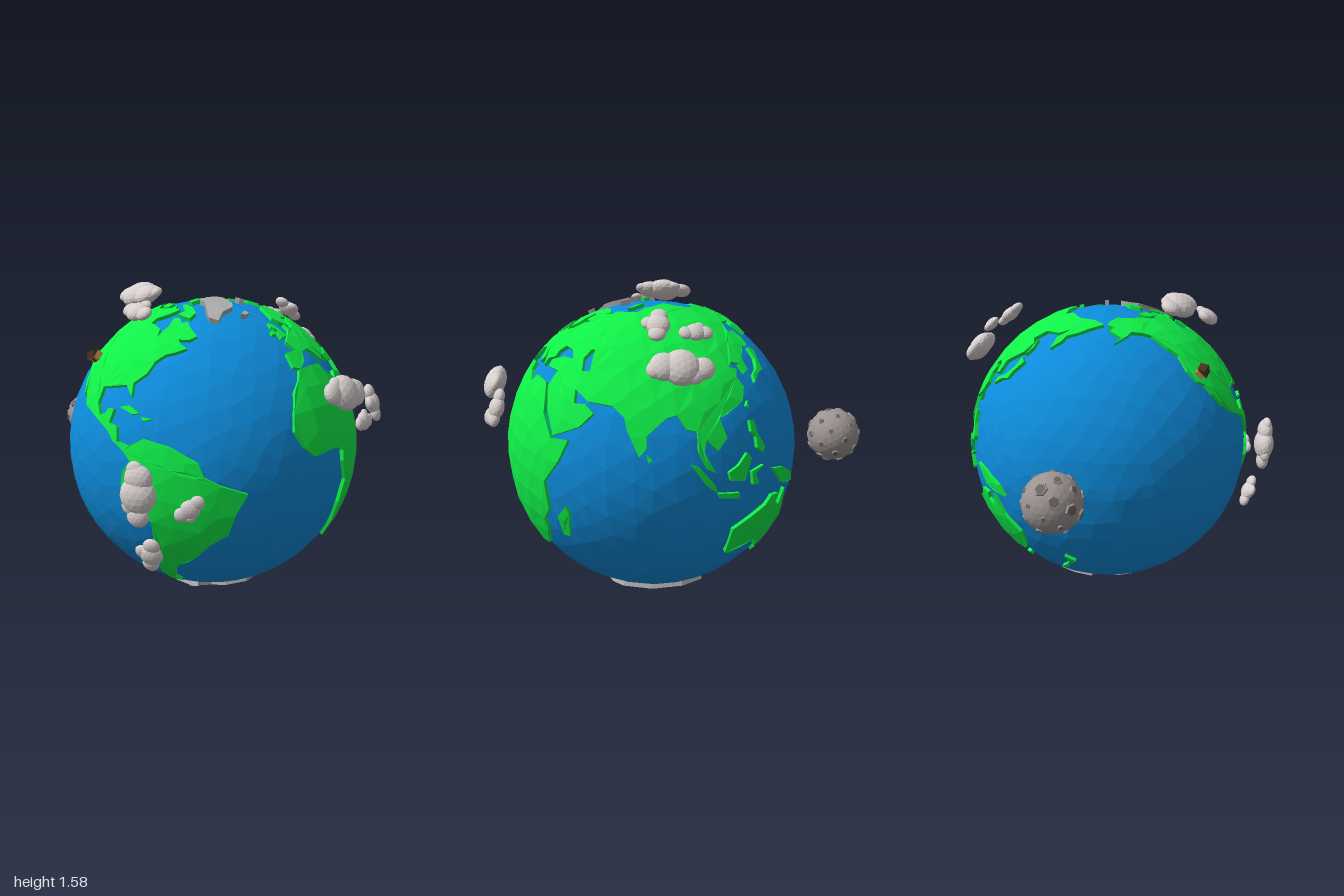
import * as THREE from 'three';

const CENTER = new THREE.Vector3(0.127, 0.758, -0.045);
const SEA = 0.734, LAND = 0.75, ICE = 0.757, BASE = 0.715;
const MAX_EDGE = 0.24; // longest land edge on the unit sphere

const mat = (color, side = THREE.FrontSide) =>
  new THREE.MeshStandardMaterial({ color, flatShading: true, side });
const OCEAN = mat(0x0d8cdc), GREEN = mat(0x10f048), ICE_GREY = mat(0xaaaaaa);
const CLOUD = mat(0xd8d0ce), MOON = mat(0x9c9492), CRATER = mat(0x6c6664);
const WOOD = mat(0x4a3020), TAN = mat(0xc89a50);

// Coast outlines as longitude, latitude pairs
const GREEN_LAND = {
  northAmerica: [-167, 66, -165, 68, -156, 71, -141, 70, -128, 70, -115, 68, -108, 68, -95, 69, -94, 72, -88, 69, -82, 69,
    -82, 67, -87, 64, -94, 61, -94, 58, -88, 57, -82, 55, -80, 51, -79, 54, -77, 57, -78, 62, -73, 62, -69, 59, -65, 60,
    -61, 56, -56, 52, -60, 50, -66, 50, -64, 48, -60, 46, -66, 44, -70, 43, -74, 40, -76, 35, -81, 31, -80, 26, -82, 28,
    -84, 30, -90, 29, -97, 28, -97, 22, -94, 18, -91, 19, -90, 21, -87, 21, -88, 16, -84, 15, -83, 10, -78, 9, -80, 7,
    -85, 10, -88, 13, -94, 16, -105, 20, -109, 25, -113, 31, -110, 23, -115, 29, -117, 33, -121, 35, -124, 40, -124, 47,
    -128, 51, -134, 58, -140, 60, -148, 61, -152, 59, -162, 55, -157, 58, -165, 62, -161, 64],
  southAmerica: [-78, 9, -72, 12, -62, 10, -52, 5, -50, 0, -44, -3, -35, -6, -39, -14, -41, -22, -48, -27, -54, -34,
    -58, -37, -62, -39, -65, -43, -67, -48, -69, -52, -66, -55, -73, -53, -75, -47, -73, -38, -71, -30, -70, -18,
    -76, -14, -81, -5, -80, 0, -77, 4, -80, 7],
  africa: [-6, 36, 3, 37, 10, 37, 11, 34, 19, 30, 22, 33, 32, 31, 34, 28, 37, 20, 43, 12, 51, 12, 47, 4, 40, -4, 40, -15,
    35, -20, 35, -24, 32, -28, 27, -34, 19, -35, 15, -27, 12, -17, 13, -8, 9, 0, 9, 4, 4, 6, -8, 4.5, -13, 8, -17, 14,
    -16, 20, -13, 28, -9, 32],
  europe: [-9, 37, -9, 43, -1, 44, -4, 48, 2, 51, 8, 54, 9.5, 57, 11, 54, 19, 55, 24, 59, 29, 60, 22, 61, 25, 65, 21, 65,
    17, 61, 18, 59, 13, 55.5, 8, 58.3, 5, 61, 13, 67, 22, 70, 30, 70, 40, 67, 34, 66, 44, 66, 44, 68, 55, 68,
    60, 55, 50, 46, 48, 42, 41.5, 41.5, 38, 45, 31, 46.5, 28, 44, 28, 41.3, 23, 40, 23, 37, 20, 40, 14, 45, 18, 40,
    16, 38, 12, 42, 9, 44, 3, 43, 0, 39, -5, 36.2],
  asia: [55, 68, 68, 68, 73, 72, 81, 73, 100, 77, 113, 74, 130, 71, 140, 73, 160, 70, 180, 69, 190, 66, 178, 63, 170, 60,
    163, 58, 162, 55, 157, 51, 156, 57, 163, 62, 155, 59, 142, 59, 136, 54, 141, 52, 139, 47, 132, 43, 129, 41,
    129, 36, 126, 35, 125, 39, 121, 40, 118, 38, 122, 37, 120, 34, 122, 30, 119, 25, 110, 21, 107, 20, 109, 13,
    105, 9, 101, 13, 100, 9, 104, 1.5, 101, 3, 98, 9, 98, 16, 94, 17, 91, 22, 87, 21, 80, 15, 80, 11, 77.5, 8, 73, 17,
    72, 21, 67, 25, 57, 26, 50, 30, 51, 25, 56, 25, 60, 22, 55, 17, 44, 13, 39, 21, 34, 30, 36, 36, 28, 37, 27, 40,
    35, 42, 41.5, 41.5, 48, 42, 50, 37, 54, 37, 53, 42, 52, 46, 50, 46, 60, 55],
  australia: [114, -22, 122, -18, 129, -15, 132, -11.5, 137, -12, 136, -15, 140, -17.5, 142, -11, 146, -19, 153, -26,
    151, -34, 147, -38.5, 140, -38, 136, -34, 131, -31.5, 124, -33, 118, -35, 115, -34],
  baffinIsland: [-62, 66, -68, 70, -80, 73, -88, 73, -80, 70, -73, 67, -78, 65, -72, 63.5, -65, 62],
  victoriaIsland: [-117, 70, -122, 73, -115, 73, -105, 73, -102, 69.5, -112, 69.5],
  ellesmereIsland: [-90, 77, -90, 81, -70, 83, -64, 82, -76, 79, -80, 76],
  britain: [-5, 50, 1, 51, 0, 53, -2, 57, -5, 58.5, -6, 56, -3, 54, -5, 52],
  ireland: [-10, 52, -6.5, 52, -6.5, 55, -9, 54],
  madagascar: [44, -25, 47, -25, 50, -15, 49, -12, 44, -17],
  japan: [130, 31, 131, 34, 136, 36, 140, 40, 141, 45, 145, 43, 141, 38, 140, 35, 135, 34],
  sakhalin: [142, 46, 142, 54, 144, 50],
  sumatra: [95, 5, 98, 4, 104, -3, 105, -6, 101, -3],
  java: [105, -6, 114, -7, 114, -9, 106, -7.8],
  borneo: [109, 1, 113, 3, 117, 7, 119, 5, 116, -3, 110, -2],
  sulawesi: [119, 0, 125, 1.5, 121, -1, 123, -5, 120, -5],
  philippines: [120, 18, 122, 18, 123, 13, 126, 8, 125, 6, 122, 8, 122, 12, 120, 14],
  newGuinea: [131, -1, 138, -2, 147, -6, 150, -10, 143, -9, 138, -8],
  newZealandNorth: [173, -35, 178, -38, 175, -41, 174, -39],
  newZealandSouth: [173, -41, 171, -46, 167, -46],
  tasmania: [145, -41, 148, -41, 147, -43.5],
  sriLanka: [80, 9, 82, 7, 80.5, 6],
  taiwan: [120, 23, 121.5, 25, 121, 22],
  cuba: [-84.5, 22, -80, 23, -75, 20.5, -78, 20],
  hispaniola: [-74, 19.5, -69, 19, -73, 18],
  novayaZemlya: [53, 71, 58, 75, 68, 77, 58, 72],
};
const ICE_LAND = {
  greenland: [-70, 78, -60, 82, -35, 83.5, -20, 81, -20, 74, -25, 70, -38, 66, -43, 60, -50, 62, -54, 68, -58, 75],
  iceland: [-23, 64, -19, 63.5, -14, 65, -17, 66.5],
  svalbard: [14, 78, 18, 76.5, 24, 80, 14, 80],
  antarctica: [0, -70, 30, -69, 50, -67, 80, -68, 110, -66, 135, -66, 150, -69, 170, -72, 165, -78, 200, -78, 210, -76,
    230, -74, 260, -73, 285, -72, 292, -67, 302, -63, 298, -70, 298, -75, 315, -78, 335, -74],
};

function onSphere(lon, lat) {
  const a = THREE.MathUtils.degToRad(lon), b = THREE.MathUtils.degToRad(lat);
  return new THREE.Vector3(Math.cos(b) * Math.cos(a), Math.sin(b), -Math.cos(b) * Math.sin(a));
}
const midpoint = (a, b) => a.clone().add(b).normalize();

// Raised plate: triangulated outline, split until it follows the sphere, with side walls
function landPlate(name, coords, radius, material) {
  let pts = [];
  for (let i = 0; i < coords.length; i += 2) pts.push(onSphere(coords[i], coords[i + 1]));
  const n = pts.reduce((s, p) => s.add(p), new THREE.Vector3()).normalize();
  const e1 = new THREE.Vector3(0.31, 0.2, 0.93).cross(n).normalize();
  const e2 = n.clone().cross(e1);
  const flat = (p) => new THREE.Vector2(p.dot(e1), p.dot(e2)).divideScalar(p.dot(n));
  if (THREE.ShapeUtils.isClockWise(pts.map(flat))) pts = pts.reverse();

  const out = [];
  const put = (p, r) => out.push(p.x * r, p.y * r, p.z * r);
  const top = (a, b, c) => {
    const ab = a.distanceTo(b), bc = b.distanceTo(c), ca = c.distanceTo(a);
    const longest = Math.max(ab, bc, ca);
    if (longest <= MAX_EDGE) return [a, b, c].forEach((p) => put(p, radius));
    if (bc === longest) return top(b, c, a);
    if (ca === longest && ab < longest) return top(c, a, b);
    const m = midpoint(a, b);
    top(a, m, c);
    top(m, b, c);
  };
  const wall = (a, b) => {
    if (a.distanceTo(b) > MAX_EDGE) {
      const m = midpoint(a, b);
      wall(a, m);
      return wall(m, b);
    }
    put(a, BASE); put(b, BASE); put(b, radius);
    put(a, BASE); put(b, radius); put(a, radius);
  };
  for (const [i, j, k] of THREE.ShapeUtils.triangulateShape(pts.map(flat), [])) {
    const [a, b, c] = [pts[i], pts[j], pts[k]];
    if (b.clone().cross(c).dot(a) > 0) top(a, b, c); else top(a, c, b);
  }
  pts.forEach((p, i) => wall(p, pts[(i + 1) % pts.length]));

  const geo = new THREE.BufferGeometry();
  geo.setAttribute('position', new THREE.Float32BufferAttribute(out, 3));
  geo.computeVertexNormals();
  return addMesh(new THREE.Group(), name, geo, material);
}

function addMesh(parent, name, geo, material, pos = [0, 0, 0]) {
  const mesh = new THREE.Mesh(geo, material);
  mesh.name = name;
  mesh.position.set(...pos);
  parent.add(mesh);
  return mesh;
}

// Faceted ball with its vertices shifted sideways for uneven facets
function unevenBall(radius, detail, amount) {
  const geo = new THREE.IcosahedronGeometry(1, detail), p = geo.attributes.position;
  const v = new THREE.Vector3();
  for (let i = 0; i < p.count; i++) {
    v.fromBufferAttribute(p, i);
    const { x, y, z } = v;
    v.x += amount * Math.sin(41 * y + 23 * z + 1);
    v.y += amount * Math.sin(37 * z + 29 * x + 2);
    v.z += amount * Math.sin(43 * x + 31 * y + 3);
    v.normalize().multiplyScalar(radius);
    p.setXYZ(i, v.x, v.y, v.z);
  }
  geo.computeVertexNormals();
  return geo;
}

// Cloud: lobes [x, y, radius], flattened toward the globe
const LOBES = {
  big: [[-0.095, 0.005, 0.052], [-0.05, 0.035, 0.045], [0, 0, 0.085], [0.075, -0.005, 0.066], [0.115, 0.01, 0.04]],
  medium: [[0, 0, 0.055], [0.052, -0.01, 0.04], [-0.052, 0.01, 0.04], [0.015, 0.04, 0.034]],
  small: [[0, 0, 0.044], [0.045, 0.008, 0.033], [-0.045, 0, 0.034], [-0.02, -0.03, 0.025]],
};
const CLOUDS = [ // size, position, direction of its length
  ['big', [0.45, 0.70, 0.775], [0, 1, 0]], ['small', [0.64, 0.65, 0.65], [1, 0.5, 0]], ['medium', [0.45, 0.41, 0.70], [0, 1, 0]],
  ['big', [0.92, 1.10, -0.07], [0, 0, -1]], ['small', [0.945, 0.955, -0.2], [0, 0, 1]], ['medium', [0.905, 1.02, -0.335], [0, 1, 0.3]],
  ['big', [0.01, 1.525, 0.345], [1, 0, 0.15]], ['medium', [0.135, 1.455, 0.475], [1, 0, 0]],
  ['big', [0.1, 1.25, -0.765], [1, 0, 0]], ['small', [0.02, 1.39, -0.66], [1, 0, 0]], ['medium', [0.18, 1.42, -0.615], [0, 1, 1]],
];
function cloud([size, pos, along]) {
  const g = new THREE.Group();
  g.name = size + 'Cloud';
  g.position.set(...pos);
  const up = g.position.clone().sub(CENTER).normalize();
  const side = up.clone().cross(new THREE.Vector3(...along)).normalize();
  g.quaternion.setFromRotationMatrix(new THREE.Matrix4().makeBasis(side.clone().cross(up), side, up));
  LOBES[size].forEach(([x, y, r]) =>
    addMesh(g, 'cloudLobe', new THREE.IcosahedronGeometry(r, 2), CLOUD, [x, y, 0]).scale.z = 0.6);
  return g;
}

// Moon with six-sided raised craters spread evenly
function moon() {
  const g = new THREE.Group(), r = 0.138, count = 30;
  g.name = 'moon';
  g.position.set(-0.857, 0.765, -0.05);
  addMesh(g, 'moonBall', unevenBall(r, 4, 0.02), MOON);
  for (let i = 0; i < count; i++) {
    const y = 1 - (2 * i + 1) / count, a = i * 2.4, s = Math.sqrt(1 - y * y);
    const size = [0.017, 0.025, 0.014, 0.02, 0.033][i % 5];
    const crater = new THREE.Group();
    crater.name = 'crater';
    const dir = new THREE.Vector3(s * Math.cos(a), y, s * Math.sin(a));
    crater.position.copy(dir).multiplyScalar(r);
    crater.quaternion.setFromUnitVectors(new THREE.Vector3(0, 1, 0), dir);
    addMesh(crater, 'craterRim', new THREE.CylinderGeometry(size * 0.9, size, 0.01, 6), MOON);
    addMesh(crater, 'craterFloor', new THREE.CylinderGeometry(size * 0.72, size * 0.72, 0.012, 6), CRATER);
    g.add(crater);
  }
  return g;
}

// Tiny cabin on the north-west coast
function cabin() {
  const g = new THREE.Group();
  g.name = 'cabin';
  const dir = new THREE.Vector3(-0.287, 0.485, 0.555).normalize();
  g.position.copy(CENTER).addScaledVector(dir, LAND - 0.005);
  g.quaternion.setFromUnitVectors(new THREE.Vector3(0, 1, 0), dir);
  addMesh(g, 'cabinWalls', new THREE.BoxGeometry(0.052, 0.036, 0.044), TAN, [0, 0.018, 0]);
  addMesh(g, 'cabinDoor', new THREE.BoxGeometry(0.016, 0.026, 0.004), WOOD, [0, 0.014, 0.022]);
  const gable = new THREE.Shape([[-0.032, 0], [0.032, 0], [0, 0.025]].map((p) => new THREE.Vector2(...p)));
  const roof = new THREE.ExtrudeGeometry(gable, { depth: 0.06, bevelEnabled: false }).translate(0, 0, -0.03);
  addMesh(g, 'cabinRoof', roof, WOOD, [0, 0.034, 0]).rotation.y = Math.PI / 2;
  return g;
}

export function createModel() {
  const model = new THREE.Group();
  model.name = 'globeWithMoon';
  const globe = new THREE.Group();
  globe.name = 'globe';
  globe.position.copy(CENTER);
  addMesh(globe, 'ocean', unevenBall(SEA, 7, 0.025), OCEAN);
  for (const [name, c] of Object.entries(GREEN_LAND)) globe.add(landPlate(name, c, LAND, GREEN));
  for (const [name, c] of Object.entries(ICE_LAND)) globe.add(landPlate(name, c, ICE, ICE_GREY));
  model.add(globe, moon(), cabin(), ...CLOUDS.map(cloud));
  return model;
}
